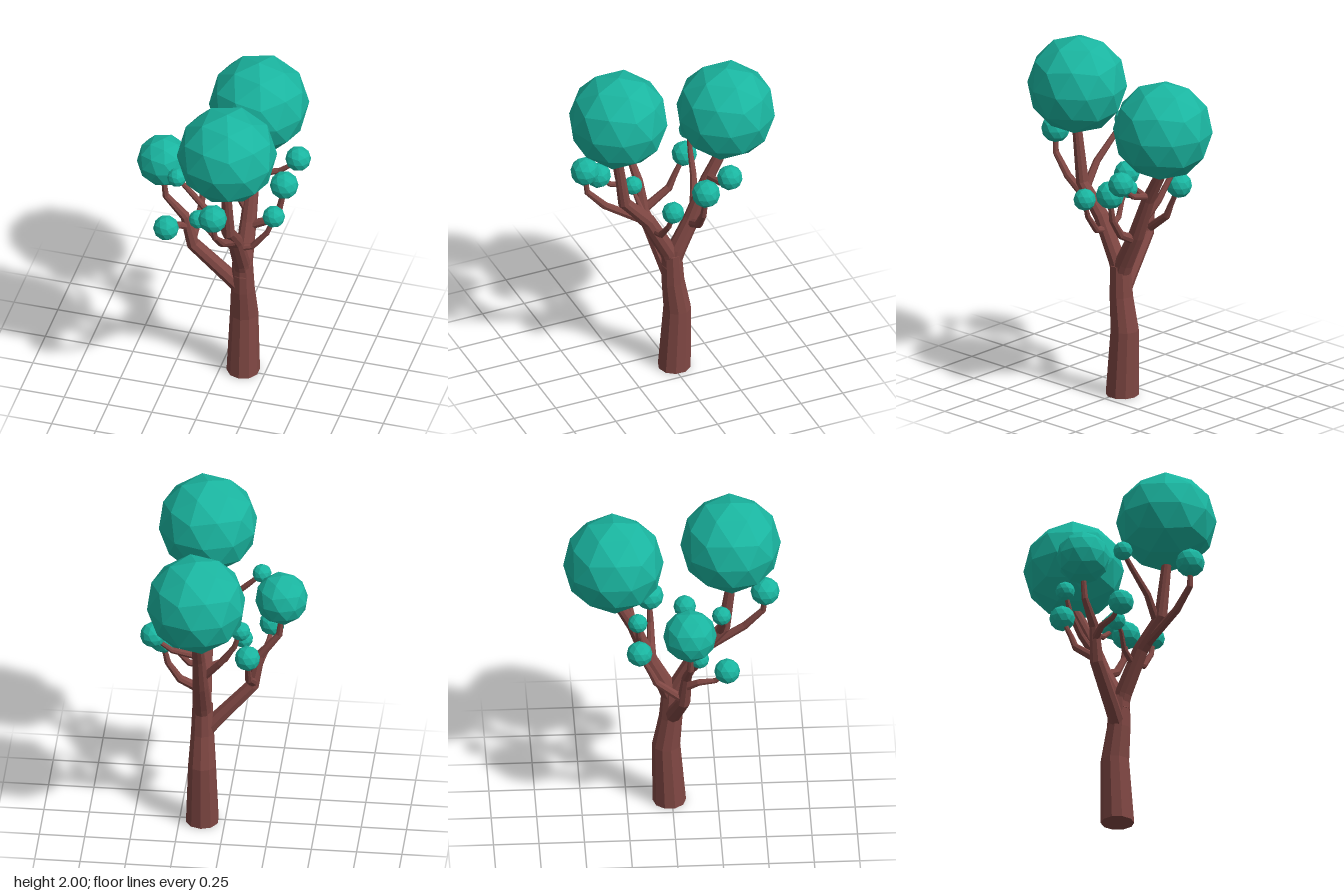
import * as THREE from 'three';

const wood = new THREE.MeshStandardMaterial({ color: 0x7f4743, flatShading: true });
const leaf = new THREE.MeshStandardMaterial({ color: 0x1ab5a0, flatShading: true });

// Tapered limb: a ring of corners around each [x, y, z, radius] point, capped at both ends
function limbGeometry(path, sides) {
  const pts = path.map(p => new THREE.Vector3(p[0], p[1], p[2]));
  const pos = [], index = [], last = pts.length - 1;
  let u = null;
  pts.forEach((p, i) => {
    const t = pts[Math.min(i + 1, last)].clone().sub(pts[Math.max(i - 1, 0)]).normalize();
    if (i === 0 && p.y === 0) t.set(0, 1, 0); // trunk foot lies flat on the ground
    if (!u) u = Math.abs(t.z) < 0.8 ? new THREE.Vector3(0, 0, 1) : new THREE.Vector3(1, 0, 0);
    u = u.clone().addScaledVector(t, -u.dot(t)).normalize();
    const v = t.clone().cross(u);
    for (let k = 0; k < sides; k++) {
      const a = k / sides * Math.PI * 2, r = path[i][3];
      const q = p.clone().addScaledVector(u, r * Math.cos(a)).addScaledVector(v, r * Math.sin(a));
      pos.push(q.x, q.y, q.z);
    }
  });
  for (let i = 0; i < last; i++)
    for (let k = 0; k < sides; k++) {
      const a = i * sides + k, b = i * sides + (k + 1) % sides;
      index.push(a, b, b + sides, a, b + sides, a + sides);
    }
  const top = last * sides;
  for (let k = 1; k < sides - 1; k++) index.push(0, k + 1, k, top, top + k, top + k + 1);
  const g = new THREE.BufferGeometry();
  g.setAttribute('position', new THREE.Float32BufferAttribute(pos, 3));
  g.setIndex(index);
  g.computeVertexNormals();
  return g;
}

const limbs = {
  trunk: [[0.125, 0, -0.015, 0.092], [0.125, 0.38, -0.033, 0.078], [0.125, 0.57, -0.007, 0.065], [0.125, 0.75, 0, 0.057]],
  frontBough: [[0.125, 0.66, -0.01, 0.048], [0.125, 0.77, 0.025, 0.048], [0.125, 1.0, 0.145, 0.043], [0.125, 1.16, 0.285, 0.036], [0.125, 1.5, 0.33, 0.026]],
  backBough: [[0.125, 0.66, 0.01, 0.052], [0.125, 0.77, -0.03, 0.052], [0.125, 0.95, -0.12, 0.045], [0.125, 1.18, -0.21, 0.036], [0.125, 1.42, -0.34, 0.028]],
  sideBough: [[0.11, 0.58, 0, 0.045], [0.04, 0.66, 0.015, 0.043], [-0.145, 0.86, 0.05, 0.038], [-0.185, 1.05, 0.065, 0.028], [-0.29, 1.18, 0.08, 0.019], [-0.305, 1.32, 0.08, 0.014]],
};

// Twig paths, each ending inside its own small leaf ball
const twigs = [
  [[0.125, 1.0, 0.15], [0.12, 1.17, 0.4], [0.11, 1.28, 0.5], [0.1, 1.38, 0.51]],
  [[0.125, 1.2, -0.215], [0.27, 1.24, -0.23], [0.36, 1.31, -0.235]],
  [[0.125, 0.92, -0.11], [0.24, 0.98, -0.11], [0.305, 1.08, -0.11], [0.33, 1.2, -0.115]],
  [[0.125, 0.93, 0.11], [0.21, 0.95, 0.1], [0.29, 1.05, 0.09], [0.325, 1.14, 0.08]],
  [[0.125, 1.13, 0.26], [0.02, 1.26, 0.275], [-0.1, 1.38, 0.26], [-0.17, 1.45, 0.255]],
  [[0.125, 0.99, -0.13], [0.01, 1.14, -0.18], [-0.07, 1.26, -0.195], [-0.1, 1.36, -0.2]],
  [[-0.15, 0.88, 0.045], [-0.14, 0.99, -0.1], [-0.14, 1.06, -0.13], [-0.14, 1.17, -0.185]],
  [[-0.175, 0.98, 0.06], [-0.205, 1.03, 0.13], [-0.22, 1.05, 0.22], [-0.23, 1.1, 0.275]],
  [[0.12, 0.92, 0.1], [0.01, 0.97, 0.12], [-0.04, 1.05, 0.14], [-0.08, 1.09, 0.145]],
];
const twigBase = [0.026, 0.022, 0.028, 0.023, 0.024, 0.023, 0.025, 0.023, 0.019];

// Leaf balls: x, y, z, radius
const balls = [
  [0.128, 1.725, 0.322, 0.276], [0.128, 1.612, -0.322, 0.276], [-0.303, 1.42, 0.077, 0.147],
  [0.1, 1.415, 0.51, 0.08], [0.375, 1.34, -0.238, 0.071], [0.33, 1.238, -0.115, 0.079],
  [0.326, 1.162, 0.08, 0.062], [-0.177, 1.458, 0.257, 0.053], [-0.105, 1.37, -0.2, 0.054],
  [-0.142, 1.19, -0.192, 0.071], [-0.23, 1.12, 0.285, 0.071], [-0.087, 1.102, 0.14, 0.053],
];

export function createModel() {
  const tree = new THREE.Group();
  tree.name = 'tree';
  const add = (geometry, material, name) => {
    const mesh = new THREE.Mesh(geometry, material);
    mesh.name = name;
    tree.add(mesh);
    return mesh;
  };

  for (const [name, path] of Object.entries(limbs)) add(limbGeometry(path, name === 'sideBough' ? 8 : 10), wood, name);

  twigs.forEach((path, i) => {
    const tapered = path.map((p, k) => [...p, twigBase[i] * (1 - 0.5 * k / (path.length - 1))]);
    add(limbGeometry(tapered, 8), wood, 'twig' + (i + 1));
  });

  // Faceted ball turned so that one corner points straight up
  const ball = new THREE.IcosahedronGeometry(1, 1);
  ball.rotateZ(-Math.atan(2 / (1 + Math.sqrt(5))));
  balls.forEach(([x, y, z, r], i) => {
    const mesh = add(ball, leaf, 'leafBall' + (i + 1));
    mesh.position.set(x, y, z);
    mesh.scale.setScalar(r);
  });
  return tree;
}
